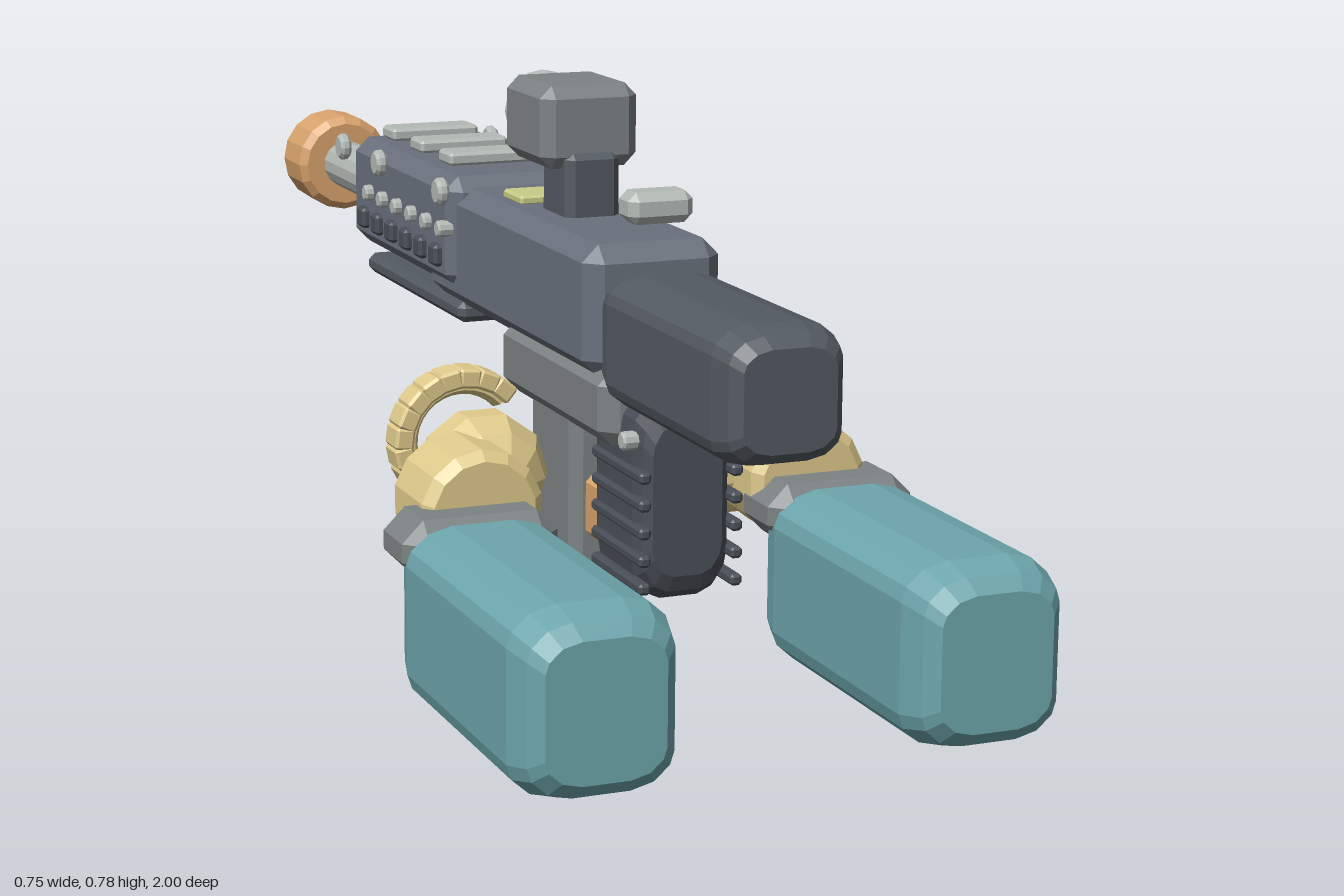
import * as THREE from 'three';
import { ConvexGeometry } from 'three/addons/geometries/ConvexGeometry.js';

const mat = (color) => new THREE.MeshStandardMaterial({ color, flatShading: true });
const M = {
  body: mat(0x69717c), dark: mat(0x535a61), grip: mat(0x4a4f58), grey: mat(0x7c8283),
  light: mat(0xb3bab6), yellow: mat(0xe0cb8c), lime: mat(0xc9cc86), teal: mat(0x6da6ac), orange: mat(0xd9a36c),
};

// Box with chamfered edges, given by its extents on each axis
function chamferBox([x0, x1], [y0, y1], [z0, z1], c) {
  const h = [(x1 - x0) / 2, (y1 - y0) / 2, (z1 - z0) / 2];
  const pts = [];
  for (const sx of [-1, 1]) for (const sy of [-1, 1]) for (const sz of [-1, 1])
    for (let k = 0; k < 3; k++) {
      const p = h.map((v, i) => (i === k ? v : v - c));
      pts.push(new THREE.Vector3(p[0] * sx, p[1] * sy, p[2] * sz));
    }
  return new ConvexGeometry(pts).translate((x0 + x1) / 2, (y0 + y1) / 2, (z0 + z1) / 2);
}

// Faceted pod along z: a many-sided section that shrinks in two steps at each end
function pod([x0, x1], [y0, y1], [z0, z1], inset) {
  const w = (x1 - x0) / 2, h = (y1 - y0) / 2, d = (z1 - z0) / 2;
  const section = [[1, 0.6], [0.94, 0.76], [0.72, 0.93], [0.4, 1]];
  const pts = [];
  for (const [z, s] of [[d, 0.74], [d - inset * 0.3, 0.9], [d - inset, 1]])
    for (const [a, b] of section)
      for (const sx of [-1, 1]) for (const sy of [-1, 1]) for (const sz of [-1, 1])
        pts.push(new THREE.Vector3(a * w * s * sx, b * h * s * sy, z * sz));
  return new ConvexGeometry(pts).translate((x0 + x1) / 2, (y0 + y1) / 2, (z0 + z1) / 2);
}

// Cylinder along z (or x) with a small bevel on both rims
function disc(r, length, sides, bevel, alongX = false) {
  const l = length / 2;
  const profile = [[0, -l], [r - bevel, -l], [r, -l + bevel], [r, l - bevel], [r - bevel, l], [0, l]];
  const g = new THREE.LatheGeometry(profile.map(([a, b]) => new THREE.Vector2(a, b)), sides);
  return alongX ? g.rotateZ(Math.PI / 2) : g.rotateX(Math.PI / 2);
}

export function createModel() {
  const root = new THREE.Group();
  const add = (name, geometry, material, x = 0, y = 0, z = 0, parent = root) => {
    const m = new THREE.Mesh(geometry, material);
    m.name = name;
    m.position.set(x, y, z);
    parent.add(m);
    return m;
  };
  const box = (name, x, y, z, c, material, parent) =>
    add(name, chamferBox(x, y, z, c), material, 0, 0, 0, parent);

  // Main body
  add('stock', pod([-0.086, 0.086], [0.382, 0.562], [0.5, 0.94], 0.05), M.dark);
  box('receiver', [-0.1, 0.1], [0.415, 0.597], [-0.14, 0.52], 0.024, M.body);
  box('handguard', [-0.114, 0.114], [0.443, 0.613], [-0.472, 0.003], 0.022, M.body);
  box('lowerRail', [-0.09, 0.09], [0.388, 0.42], [-0.47, -0.02], 0.01, M.dark);
  box('lowerReceiver', [-0.092, 0.092], [0.325, 0.435], [0.15, 0.558], 0.024, M.grey);

  // Barrel and muzzle
  add('barrel', disc(0.04, 0.46, 14, 0.003), M.light, 0, 0.503, -0.66);
  add('muzzle', disc(0.082, 0.115, 16, 0.012), M.orange, 0, 0.503, -0.922);
  add('muzzleRing', disc(0.044, 0.04, 14, 0.006), M.grip, 0, 0.503, -0.973);
  add('muzzleCore', disc(0.03, 0.04, 12, 0.004), M.light, 0, 0.503, -0.98);

  // Sights
  box('scopeMount', [-0.041, 0.041], [0.585, 0.69], [0.19, 0.295], 0.012, M.dark);
  box('scope', [-0.073, 0.073], [0.664, 0.782], [0.12, 0.286], 0.018, M.grey);
  add('scopeLens', disc(0.057, 0.028, 16, 0.006), M.light, 0, 0.724, 0.094);
  box('scopeNeck', [-0.03, 0.03], [0.695, 0.752], [0.1, 0.13], 0.005, M.dark);
  box('rearSight', [-0.047, 0.047], [0.626, 0.67], [0.485, 0.54], 0.012, M.light);

  // Plates on top and on the left side
  for (const z of [-0.412, -0.275, -0.14])
    box('topPlate', [-0.072, 0.072], [0.612, 0.633], [z - 0.029, z + 0.029], 0.005, M.light);
  box('topMarker', [-0.06, 0.06], [0.594, 0.609], [0.085, 0.16], 0.004, M.lime);
  box('sideMarker', [0.097, 0.124], [0.545, 0.568], [0.255, 0.31], 0.004, M.lime);
  box('sideLatch', [0.088, 0.12], [0.403, 0.46], [0.19, 0.3], 0.008, M.lime);
  add('latchPivot', disc(0.026, 0.03, 12, 0.005, true), M.lime, 0.103, 0.443, 0.213);

  // Magazine, trigger and rear grip
  box('magazine', [-0.07, 0.07], [0.1, 0.35], [0.22, 0.39], 0.016, M.grey);
  box('magazineBase', [-0.081, 0.081], [0.092, 0.123], [0.208, 0.392], 0.01, M.dark);
  box('trigger', [-0.05, 0.05], [0.16, 0.25], [0.38, 0.46], 0.01, M.orange);
  add('rearGrip', pod([-0.068, 0.068], [0.128, 0.41], [0.45, 0.63], 0.03), M.grip);

  for (const s of [-1, 1]) {
    const side = new THREE.Group();
    side.name = s > 0 ? 'leftSide' : 'rightSide';
    root.add(side);
    const span = (a, b) => (s > 0 ? [a, b] : [-b, -a]);

    // Grip ribs
    for (let i = 0; i < 5; i++) {
      const y = 0.155 + i * 0.038;
      box('gripRib', span(0.058, 0.075), [y - 0.008, y + 0.008], [0.47, 0.645], 0.004, M.grip, side);
    }
    // Handguard studs, vents and large knobs
    for (let i = 0; i < 6; i++) {
      const z = -0.02 - i * 0.07;
      add('stud', disc(0.013, 0.026, 10, 0.003, true), M.light, s * 0.114, 0.535, z, side);
      box('vent', span(0.105, 0.126), [0.475, 0.508], [z - 0.046, z - 0.012], 0.005, M.grip, side);
    }
    for (const z of [0, -0.29, -0.475])
      add('knob', disc(0.021, 0.018, 12, 0.005, true), M.light, s * 0.127, 0.595, z, side);
    add('gripPin', disc(0.013, 0.03, 10, 0.003, true), M.light, s * 0.07, 0.35, 0.6, side);

    // Elbow joint, collar and tank
    const shoulder = add('shoulder', new THREE.SphereGeometry(0.093, 10, 7), M.yellow, s * 0.192, 0.257, 0.355, side);
    shoulder.rotation.x = Math.PI / 2;
    add('elbow', disc(0.088, 0.14, 14, 0.014), M.yellow, s * 0.242, 0.24, 0.437, side);
    box('collar', span(0.155, 0.375), [0.168, 0.254], [0.443, 0.58], 0.03, M.grey, side);
    add('tank', pod(span(0.159, 0.374), [0, 0.247], [0.505, 1], 0.06), M.teal, 0, 0, 0, side);

    // Toothed open ring, its gap facing +x on both sides
    const ring = new THREE.Group();
    ring.name = 'toothedRing';
    ring.position.set(s * 0.183, 0.28, 0.243);
    side.add(ring);
    const start = 0.72, arc = 4.6, teeth = 15;
    add('ringCore', new THREE.TorusGeometry(0.082, 0.017, 6, 22, arc), M.yellow, 0, 0, 0, ring).rotation.z = start;
    const tooth = chamferBox([-0.014, 0.014], [-0.016, 0.016], [-0.025, 0.025], 0.004);
    for (let i = 0; i < teeth; i++) {
      const a = start + (arc * (i + 0.5)) / teeth;
      add('ringTooth', tooth, M.yellow, 0.091 * Math.cos(a), 0.091 * Math.sin(a), 0, ring).rotation.z = a;
    }
  }
  return root;
}
